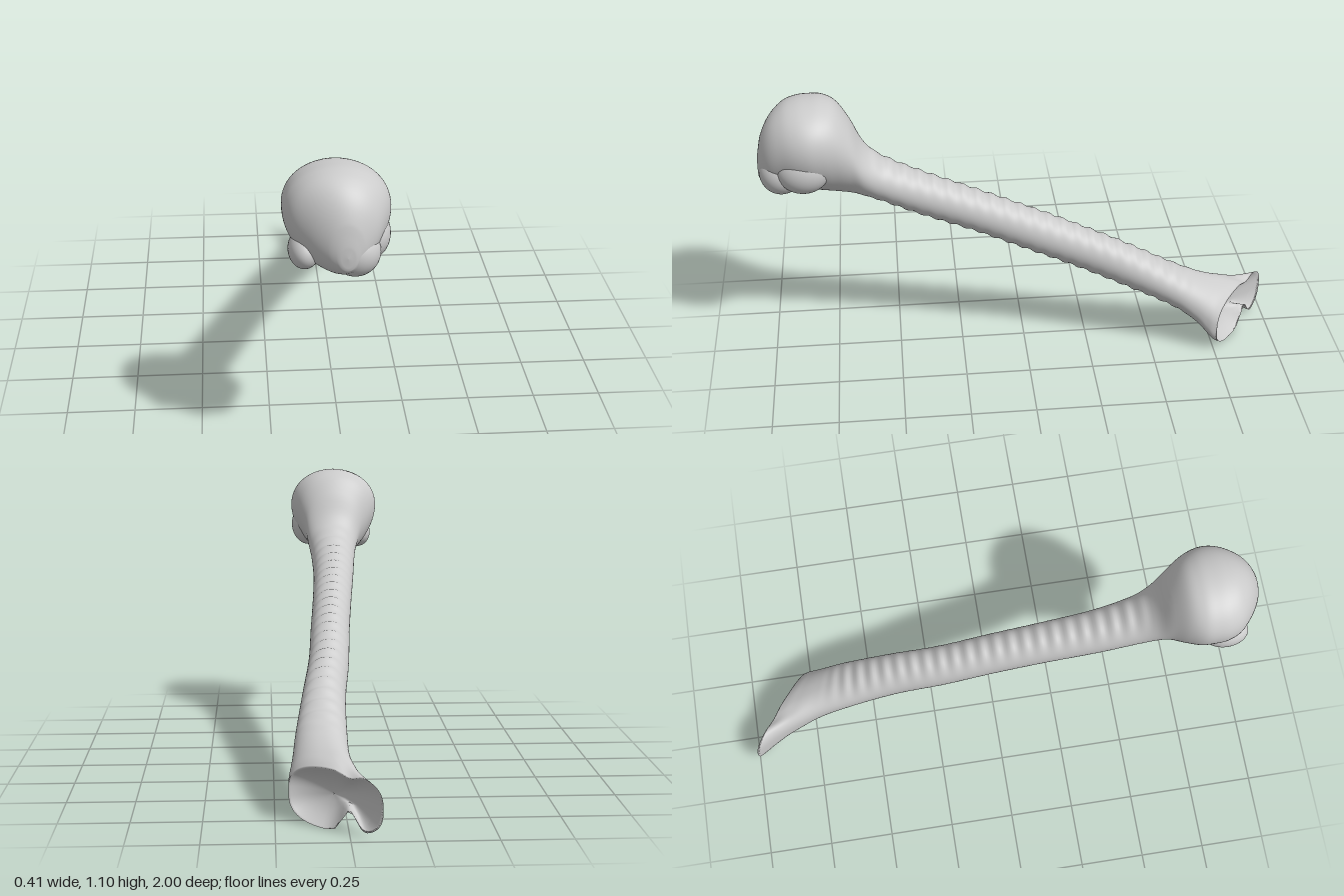
import * as THREE from 'three';

// Cross-sections from head to far end: [z, xMin, xMax, yMin, yMax, slant, egg]
const headRows = [
  [1.0, -0.03, 0.03, 0.8, 0.89, 0, 0],
  [0.985, -0.065, 0.06, 0.785, 0.965, 0, 0],
  [0.95, -0.12, 0.1, 0.765, 1.035, 0, 0.05],
  [0.9, -0.175, 0.13, 0.755, 1.08, 0, 0.1],
  [0.85, -0.2, 0.15, 0.748, 1.097, 0, 0.12],
  [0.8, -0.205, 0.155, 0.738, 1.1, 0, 0.16],
  [0.75, -0.2, 0.143, 0.725, 1.095, 0, 0.2],
  [0.7, -0.175, 0.122, 0.715, 1.07, 0, 0.2],
  [0.65, -0.138, 0.1, 0.708, 1.0, 0, 0.15],
  [0.61, -0.118, 0.09, 0.698, 0.915, 0, 0.08],
  [0.55, -0.105, 0.08, 0.675, 0.855, 0, 0],
];
const shaftRows = [
  [0.4, -0.09, 0.075, 0.605, 0.78, 0, 0],
  [0.2, -0.07, 0.085, 0.528, 0.7, 0, 0],
  [0.0, -0.052, 0.1, 0.442, 0.62, 0, 0],
  [-0.2, -0.038, 0.115, 0.355, 0.533, 0, 0],
  [-0.4, -0.016, 0.145, 0.265, 0.445, 0, 0],
  [-0.6, -0.01, 0.175, 0.17, 0.338, 0.12, 0],
  [-0.7, -0.015, 0.186, 0.105, 0.285, 0.35, 0],
  [-0.78, -0.042, 0.196, 0.045, 0.25, 0.6, 0],
  [-0.83, -0.072, 0.202, 0.015, 0.232, 0.72, 0],
  [-0.875, -0.108, 0.203, 0.0, 0.215, 0.78, 0],
];
const rows = [...headRows, ...shaftRows];
const SIDES = 72;

// Smooth interpolation between neighbouring rows
function sample(i, t) {
  const p = (n) => rows[Math.min(rows.length - 1, Math.max(0, n))];
  const [a, b, c, d] = [p(i - 1), p(i), p(i + 1), p(i + 2)];
  const u = b[0] - t * (b[0] - c[0]);
  return b.map((_, k) => {
    if (k === 0) return u;
    const h = c[0] - b[0];
    const m0 = (c[k] - a[k]) / (c[0] - a[0]) * h;
    const m1 = (d[k] - b[k]) / (d[0] - b[0]) * h;
    const t2 = t * t, t3 = t2 * t;
    return (2 * t3 - 3 * t2 + 1) * b[k] + (t3 - 2 * t2 + t) * m0
      + (3 * t2 - 2 * t3) * c[k] + (t3 - t2) * m1;
  });
}

// One ring of points; scale shrinks it and push moves it along z for the caps
function ring([z, x0, x1, y0, y1, slant, egg], scale = 1, push = 0) {
  const cx = (x0 + x1) / 2, cy = (y0 + y1) / 2;
  const rx = (x1 - x0) / 2, ry = (y1 - y0) / 2;
  const power = 1 - 0.35 * Math.min(1, slant); // squarer towards the flared end
  const shape = (v) => Math.sign(v) * Math.abs(v) ** power;
  const fade = THREE.MathUtils.smoothstep(z, -0.72, -0.55) * (1 - THREE.MathUtils.smoothstep(z, 0.5, 0.65));
  const ripple = 0.005 * fade * Math.sin(z * 2 * Math.PI / 0.055);
  const notch = THREE.MathUtils.smoothstep(-z, 0.74, 0.875);
  const pts = [];
  for (let j = 0; j < SIDES; j++) {
    const a = j / SIDES * 2 * Math.PI, c = Math.cos(a), s = Math.sin(a);
    const dx = rx * shape(c) * (1 + egg * s) * scale;
    let y = cy + (ry * shape(s) + ripple * s * Math.abs(s)) * scale;
    // gap between the two lobes of the flared end
    const gap = notch * Math.exp(-(((cx + dx + 0.0) / 0.032) ** 2));
    y += gap * (s < 0 ? 0.08 : -0.02) * Math.abs(s) * scale;
    pts.push([cx + dx, y, z + slant * dx + push]);
  }
  return pts;
}

function boneGeometry() {
  const rings = [];
  // rounded front of the head
  for (const s of [0.01, 0.4, 0.75]) rings.push(ring(rows[0], s, 0.003 * (1 - s)));
  for (let i = 0; i < rows.length - 1; i++) {
    const steps = Math.max(4, Math.round((rows[i][0] - rows[i + 1][0]) / 0.009));
    for (let k = 0; k < steps; k++) rings.push(ring(sample(i, k / steps)));
  }
  // hollowed far end
  const end = rows[rows.length - 1];
  for (const s of [1, 0.95, 0.85, 0.7, 0.5, 0.25, 0.01]) rings.push(ring(end, s, 0.085 * (1 - s * s)));

  const index = [];
  for (let i = 0; i < rings.length - 1; i++) {
    for (let j = 0; j < SIDES; j++) {
      const n = (j + 1) % SIDES;
      const a = i * SIDES + j, b = i * SIDES + n, c = a + SIDES, d = b + SIDES;
      index.push(a, c, b, b, c, d);
    }
  }
  const geo = new THREE.BufferGeometry();
  geo.setAttribute('position', new THREE.Float32BufferAttribute(rings.flat(2), 3));
  geo.setIndex(index);
  geo.computeVertexNormals();
  return geo;
}

export function createModel() {
  const group = new THREE.Group();
  group.name = 'bone';
  const material = new THREE.MeshStandardMaterial({ color: 0xcccccc, side: THREE.DoubleSide });
  const add = (name, geo) => {
    const mesh = new THREE.Mesh(geo, material);
    mesh.name = name;
    group.add(mesh);
    return mesh;
  };

  // ball head, shaft and flared end in one skin
  add('headAndShaft', boneGeometry());

  // knobs under the head
  const knob = (name, pos, size) => {
    const mesh = add(name, new THREE.SphereGeometry(1, 40, 28));
    mesh.position.set(...pos);
    mesh.scale.set(...size);
  };
  knob('smallKnob', [-0.135, 0.82, 0.86], [0.055, 0.064, 0.085]);
  knob('largeKnob', [0.03, 0.832, 0.915], [0.085, 0.085, 0.082]);
  knob('sideKnob', [0.08, 0.86, 0.83], [0.075, 0.09, 0.1]);
  return group;
}
